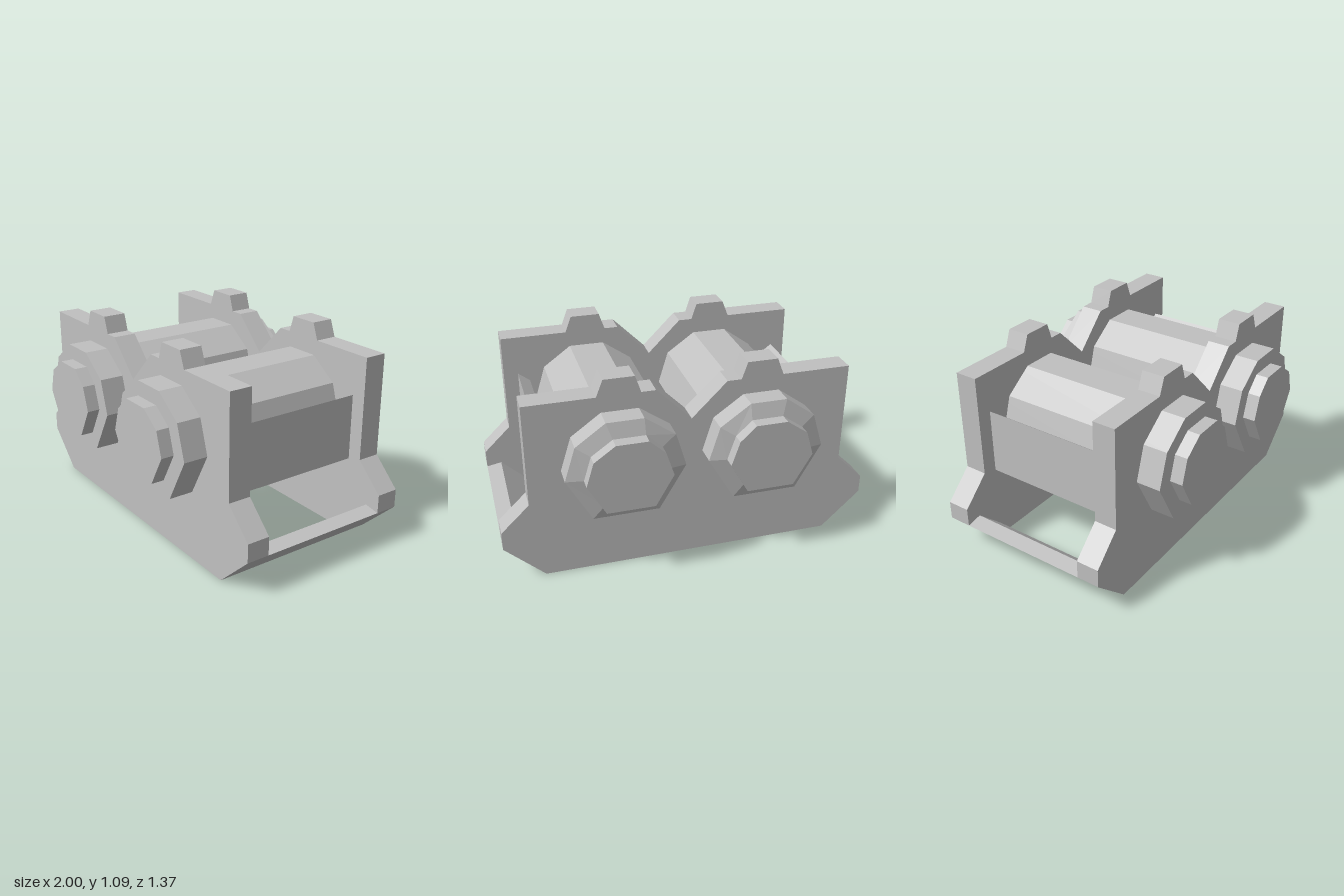
import * as THREE from 'three';

// Extrude a closed [x, y] outline between two z positions
function slab(points, z0, z1, material, name) {
  const shape = new THREE.Shape(points.map(([x, y]) => new THREE.Vector2(x, y)));
  const geometry = new THREE.ExtrudeGeometry(shape, { depth: z1 - z0, bevelEnabled: false });
  geometry.translate(0, 0, z0);
  const mesh = new THREE.Mesh(geometry, material);
  mesh.name = name;
  return mesh;
}

// Join [outline, z] sections, ordered back to front, and cap both ends
function loft(sections, material, name) {
  const positions = [];
  const point = (s, i) => {
    const [outline, z] = sections[s];
    const [x, y] = outline[i % outline.length];
    return [x, y, z];
  };
  const n = sections[0][0].length;
  const last = sections.length - 1;
  for (let s = 0; s < last; s++) {
    for (let i = 0; i < n; i++) {
      const a = point(s, i), b = point(s, i + 1), c = point(s + 1, i + 1), d = point(s + 1, i);
      positions.push(...a, ...b, ...c, ...a, ...c, ...d);
    }
  }
  for (let i = 1; i < n - 1; i++) {
    positions.push(...point(0, 0), ...point(0, i + 1), ...point(0, i));
    positions.push(...point(last, 0), ...point(last, i), ...point(last, i + 1));
  }
  const geometry = new THREE.BufferGeometry();
  geometry.setAttribute('position', new THREE.Float32BufferAttribute(positions, 3));
  geometry.computeVertexNormals();
  const mesh = new THREE.Mesh(geometry, material);
  mesh.name = name;
  return mesh;
}

const mirror = (points) => points.map(([x, y]) => [-x, y]).reverse();

export function createModel() {
  const group = new THREE.Group();
  const grey = new THREE.MeshStandardMaterial({ color: 0xc0c0c0, flatShading: true });
  grey.name = 'plain grey';

  // Two end plates with a centre notch and top lugs
  const half = [
    [0.79, 0], [1, 0.2], [1, 0.3], [0.85, 0.445], [0.85, 1], [0.485, 1],
    [0.45, 1.09], [0.29, 1.09], [0.26, 1], [0.185, 1],
  ];
  const plate = [...half, [0, 0.815], ...mirror(half)];
  group.add(slab(plate, 0.36, 0.484, grey, 'frontPlate'));
  group.add(slab(plate, -0.484, -0.36, grey, 'backPlate'));

  // Eight-sided roller and its narrower hub, anticlockwise from the lower right
  const body = [
    [0.545, 0.38], [0.677, 0.62], [0.62, 0.803], [0.465, 0.915],
    [0.273, 0.915], [0.115, 0.803], [0.06, 0.62], [0.2, 0.38],
  ];
  const hub = [
    [0.492, 0.46], [0.587, 0.627], [0.548, 0.757], [0.438, 0.835],
    [0.273, 0.835], [0.19, 0.757], [0.148, 0.627], [0.243, 0.46],
  ];
  // Side strip along the base and upright side panel
  const strip = [[0.79, 0], [1, 0.2], [0.917, 0.215], [0.77, 0.075]];
  const panel = [[0.705, 0.425], [0.77, 0.425], [0.77, 0.78], [0.705, 0.73]];

  for (const side of ['left', 'right']) {
    const place = side === 'left' ? (p) => p : mirror;
    const outer = place(body), inner = place(hub);
    group.add(loft([
      [inner, -0.684], [inner, -0.62], [outer, -0.595],
      [outer, 0.615], [inner, 0.615], [inner, 0.684],
    ], grey, side + 'Roller'));
    group.add(slab(place(strip), -0.36, 0.36, grey, side + 'BaseStrip'));
    group.add(slab(place(panel), -0.36, 0.36, grey, side + 'SidePanel'));
  }
  return group;
}
